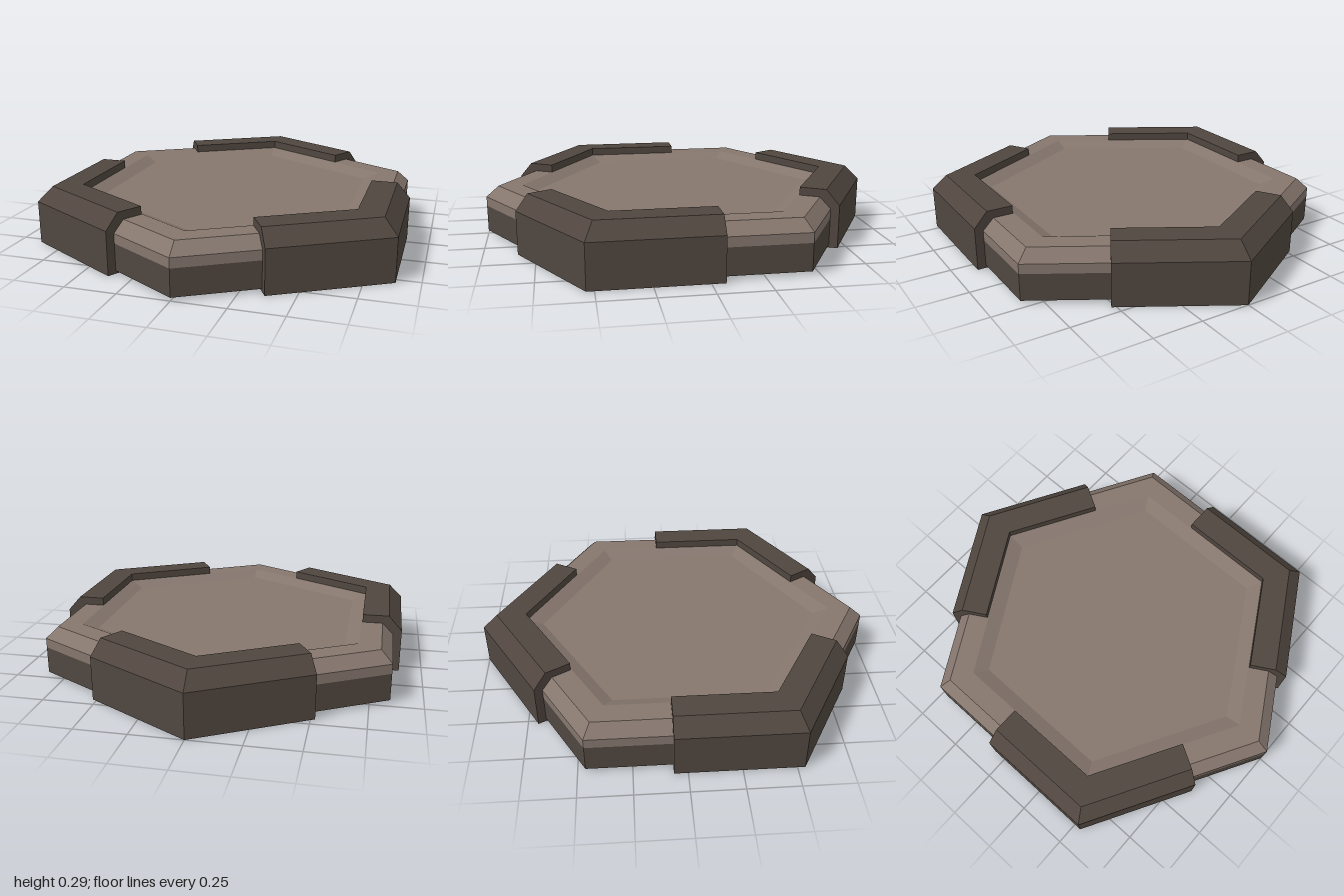
import * as THREE from 'three';

const CENTRE_Z = 0.024;
const COS30 = Math.cos(Math.PI / 6);

const stone = new THREE.MeshStandardMaterial({ name: 'lightStone', color: 0x85766d, side: THREE.DoubleSide, flatShading: true });
const dark = new THREE.MeshStandardMaterial({ name: 'darkStone', color: 0x50463f, side: THREE.DoubleSide, flatShading: true });

function flatMesh(name, triangles, material) {
  const geometry = new THREE.BufferGeometry().setFromPoints(triangles);
  geometry.computeVertexNormals();
  const mesh = new THREE.Mesh(geometry, material);
  mesh.name = name;
  return mesh;
}

// Join successive rows of points with quads
function loft(rows) {
  const tris = [];
  for (let i = 0; i < rows.length - 1; i++) {
    for (let k = 0; k < rows[i].length - 1; k++) {
      const a = rows[i][k], b = rows[i][k + 1], c = rows[i + 1][k + 1], d = rows[i + 1][k];
      tris.push(a, b, c);
      if (c.distanceTo(d) > 1e-6) tris.push(a, c, d);
    }
  }
  return tris;
}

// Hexagon of a given apothem and height, with corners on the z axis
function hexRing([apothem, y]) {
  const r = apothem / COS30;
  return Array.from({ length: 7 }, (_, k) => {
    const t = (k % 6) * Math.PI / 3;
    return new THREE.Vector3(r * Math.sin(t), y, r * Math.cos(t));
  });
}

// Angled corner clamp: a hollow profile swept round one hexagon corner
function cornerClamp(name, angle) {
  const profile = [[0.887, 0], [0.887, 0.215], [0.82, 0.29], [0.69, 0.29], [0.69, 0]];
  const past = 0.089; // reach beyond the middle of each side
  const rows = profile.map(([a, y]) => {
    const x = a * 0.5 + past * COS30, z = a * COS30 - past * 0.5;
    return [
      new THREE.Vector3(-x, y, z),
      new THREE.Vector3(0, y, a / COS30),
      new THREE.Vector3(x, y, z),
    ];
  });
  const tris = loft(rows);
  // End caps
  for (let i = 1; i < rows.length - 1; i++) {
    tris.push(rows[0][0], rows[i][0], rows[i + 1][0]);
    tris.push(rows[0][2], rows[i + 1][2], rows[i][2]);
  }
  const mesh = flatMesh(name, tris, dark);
  mesh.rotation.y = angle;
  return mesh;
}

export function createModel() {
  const model = new THREE.Group();
  model.name = 'hexagonalPlatform';
  const body = new THREE.Group();
  body.name = 'body';
  body.position.z = CENTRE_Z;
  model.add(body);

  // Open-bottomed slab: dark skirt, then bevelled rim and sunken floor
  body.add(flatMesh('skirt', loft([[0.845, 0.015], [0.845, 0.147]].map(hexRing)), dark));
  body.add(flatMesh('rimAndFloor', loft([
    [0.845, 0.147], [0.845, 0.195], [0.79, 0.25], [0.685, 0.25], [0.618, 0.22], [0, 0.22],
  ].map(hexRing)), stone));

  // Clamps on alternate corners
  body.add(cornerClamp('backClamp', Math.PI));
  body.add(cornerClamp('leftClamp', Math.PI / 3));
  body.add(cornerClamp('rightClamp', -Math.PI / 3));
  return model;
}
